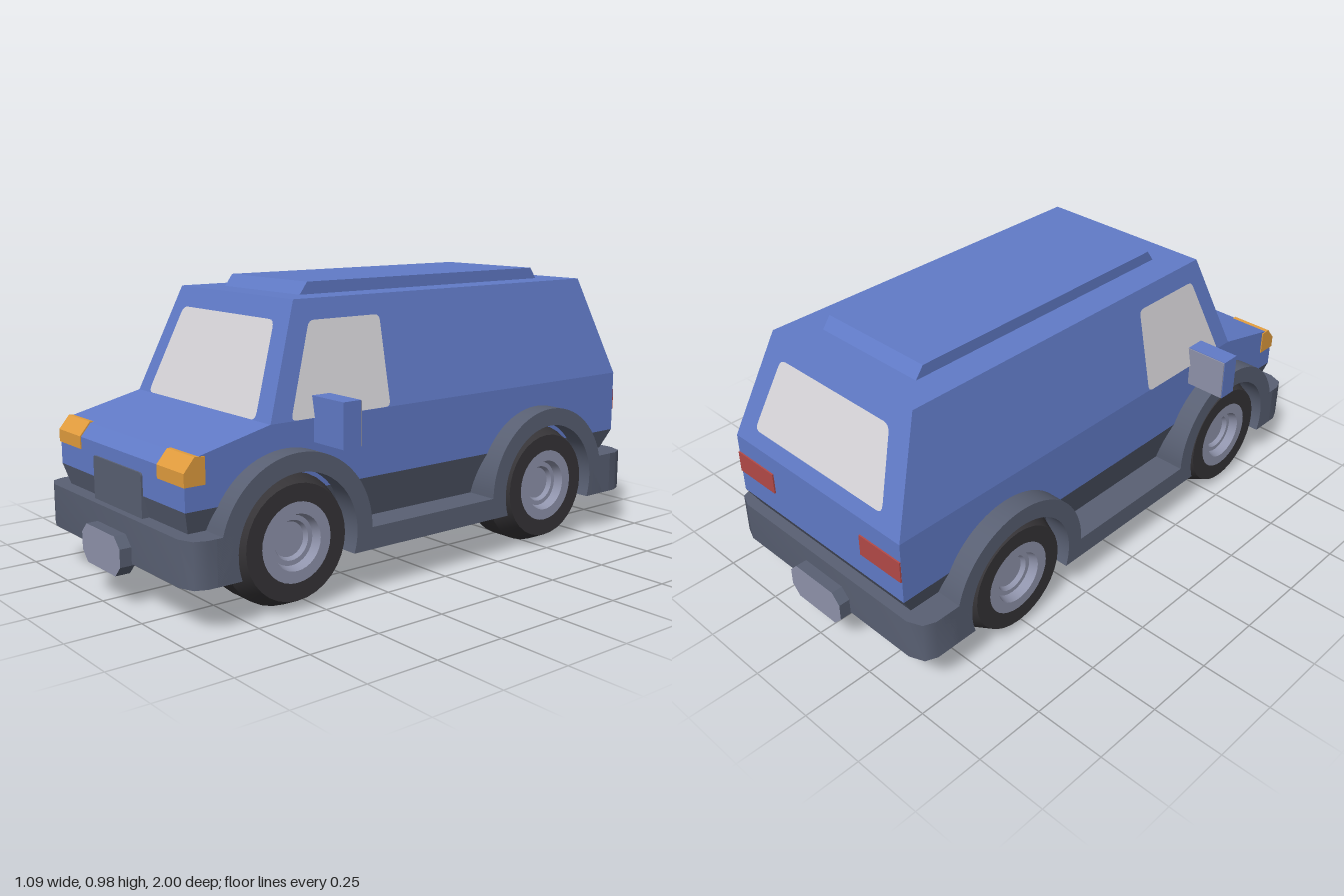
import * as THREE from 'three';
import { toCreasedNormals } from 'three/addons/utils/BufferGeometryUtils.js';

const paint = (name, color) => {
  const m = new THREE.MeshStandardMaterial({ color });
  m.name = name;
  return m;
};

export function createModel() {
  const blue = paint('bodyBlue', 0x617bc8);
  const trim = paint('trimGrey', 0x596073);
  const glass = paint('glassGrey', 0xd8d6da);
  const rubber = paint('rubberBlack', 0x363437);
  const metal = paint('metalGrey', 0x9094ac);
  const orange = paint('lampOrange', 0xe29d3e);
  const red = paint('lampRed', 0xb44a48);

  const van = new THREE.Group();
  van.name = 'van';
  const add = (name, geometry, material, parent = van) => {
    const mesh = new THREE.Mesh(geometry, material);
    mesh.name = name;
    parent.add(mesh);
    return mesh;
  };
  const polygon = pts => new THREE.Shape(pts.map(p => new THREE.Vector2(...p)));

  // Shape drawn in (z, y), extruded across x
  const extrudeX = (shape, x0, x1) =>
    new THREE.ExtrudeGeometry(shape, { depth: x1 - x0, bevelEnabled: false, curveSegments: 20 })
      .rotateY(-Math.PI / 2).translate(x1, 0, 0);

  // Box spanning two corners
  const block = (x0, x1, y0, y1, z0, z1) =>
    new THREE.BoxGeometry(x1 - x0, y1 - y0, z1 - z0)
      .translate((x0 + x1) / 2, (y0 + y1) / 2, (z0 + z1) / 2);

  // Tapered box: each level is { y, x: half width, front, back }
  const frustum = (low, high) => {
    const g = new THREE.BoxGeometry(1, 1, 1);
    const p = g.attributes.position;
    for (let i = 0; i < p.count; i++) {
      const l = p.getY(i) < 0 ? low : high;
      p.setXYZ(i, Math.sign(p.getX(i)) * l.x, l.y, p.getZ(i) > 0 ? l.front : l.back);
    }
    g.computeVertexNormals();
    return g;
  };

  // Polygon with its corners rounded by r
  const rounded = (pts, r) => {
    const s = new THREE.Shape();
    const v = pts.map(p => new THREE.Vector2(...p));
    v.forEach((c, i) => {
      const toward = o => c.clone().add(o.clone().sub(c).setLength(r));
      const a = toward(v[(i + v.length - 1) % v.length]);
      const b = toward(v[(i + 1) % v.length]);
      if (i) s.lineTo(a.x, a.y); else s.moveTo(a.x, a.y);
      s.quadraticCurveTo(c.x, c.y, b.x, b.y);
    });
    s.closePath();
    return s;
  };

  // Flat pane laid on a sloping wall by a mapping rule
  const pane = (pts, r, map) => {
    const g = new THREE.ShapeGeometry(rounded(pts, r), 4);
    const p = g.attributes.position;
    for (let i = 0; i < p.count; i++) p.setXYZ(i, ...map(p.getX(i), p.getY(i)));
    g.computeVertexNormals();
    return g;
  };

  // Body: nose and lower walls, cabin, and tapered skirt
  const lower = polygon([[0.93, 0.365], [0.93, 0.48], [0.895, 0.522], [0.63, 0.585],
    [-0.96, 0.585], [-0.96, 0.365]]);
  const waist = { y: 0.585, x: 0.4, front: 0.63, back: -0.96 };
  const roof = { y: 0.945, x: 0.327, front: 0.49, back: -0.82 };
  add('lowerBody', extrudeX(lower, -0.4, 0.4), blue);
  add('cabin', frustum(waist, roof), blue);
  add('skirt', frustum({ y: 0.2, x: 0.352, front: 0.885, back: -0.865 },
    { y: 0.365, x: 0.4, front: 0.93, back: -0.96 }), trim);
  add('roofPanel', extrudeX(polygon([[0.385, 0.944], [0.355, 0.985], [-0.68, 0.985],
    [-0.71, 0.944]]), -0.217, 0.217), blue);

  // Windows
  const at = (key, y) => THREE.MathUtils.mapLinear(y, waist.y, roof.y, waist[key], roof[key]);
  add('windshield', pane([[-0.325, 0.587], [0.325, 0.587], [0.268, 0.88], [-0.268, 0.88]], 0.025,
    (x, y) => [x, y, at('front', y) + 0.005]), glass);
  add('rearWindow', pane([[-0.31, 0.64], [0.31, 0.64], [0.257, 0.88], [-0.257, 0.88]], 0.025,
    (x, y) => [-x, y, at('back', y) - 0.005]), glass);
  const sidePts = [[0.163, 0.587], [0.557, 0.587], [0.445, 0.88], [0.163, 0.88]];
  for (const s of [1, -1]) {
    add(s > 0 ? 'leftWindow' : 'rightWindow', pane(sidePts.map(([z, y]) => [-s * z, y]), 0.02,
      (u, y) => [s * (at('x', y) + 0.005), y, -s * u]), glass);
  }

  // Side trim with wheel arches and sill
  const wheelY = 0.223, axles = [0.576, -0.533], outer = 0.283, inner = 0.222;
  const top = Math.asin((0.295 - wheelY) / outer);
  const cut = Math.asin((wheelY - 0.15) / inner);
  const arch = new THREE.Shape();
  arch.moveTo(0.87, 0.15);
  arch.lineTo(0.87, 0.295);
  arch.absarc(axles[0], wheelY, outer, top, Math.PI, false);
  arch.absarc(axles[1], wheelY, outer, 0, Math.PI - top, false);
  arch.lineTo(-0.87, 0.295);
  arch.lineTo(-0.87, 0.15);
  arch.absarc(axles[1], wheelY, inner, Math.PI + cut, -cut, true);
  arch.absarc(axles[0], wheelY, inner, Math.PI + cut, -cut, true);
  arch.closePath();

  // Wheel profiles as (radius, offset along the axle)
  const lathe = pts => toCreasedNormals(
    new THREE.LatheGeometry(pts.map(p => new THREE.Vector2(...p)), 32), 0.4);
  const tyre = lathe([[0, -0.125], [0.185, -0.125], [0.218, -0.05], [0.218, 0.05],
    [0.185, 0.125], [0.128, 0.125]]);
  const rim = lathe([[0.128, 0.125], [0.09, 0.125], [0.08, 0.095], [0.064, 0.095],
    [0.056, 0.08], [0, 0.08]]);

  for (const s of [1, -1]) {
    const side = s > 0 ? 'left' : 'right';
    const span = (a, b) => (s > 0 ? [a, b] : [-b, -a]);
    add(side + 'ArchTrim', toCreasedNormals(extrudeX(arch, ...span(0.2, 0.472)), 0.5), trim);

    axles.forEach((z, i) => {
      const wheel = new THREE.Group();
      wheel.name = side + (i ? 'RearWheel' : 'FrontWheel');
      wheel.position.set(s * 0.33, wheelY, z);
      wheel.rotation.z = -s * Math.PI / 2;
      add('tyre', tyre, rubber, wheel);
      add('rim', rim, metal, wheel);
      van.add(wheel);
    });

    // Lamps
    add(side + 'Headlight', extrudeX(polygon([[0.862, 0.44], [0.934, 0.44], [0.934, 0.482],
      [0.897, 0.526], [0.862, 0.524]]), ...span(0.25, 0.404)), orange);
    add(side + 'TailLight', block(...span(0.215, 0.399), 0.445, 0.52, -0.965, -0.958), red);

    // Door mirror with a pale glass on its back
    add(side + 'Mirror', block(...span(0.388, 0.545), 0.51, 0.655, 0.4, 0.468), blue);
    add(side + 'MirrorGlass', block(...span(0.39, 0.543), 0.512, 0.653, 0.396, 0.401), metal);
  }

  // Bumpers and chamfered plates at both ends
  const plate = polygon([[-0.125, 0.145], [-0.092, 0.11], [0.092, 0.11], [0.125, 0.145],
    [0.125, 0.203], [0.092, 0.237], [-0.092, 0.237], [-0.125, 0.203]]);
  for (const [name, f, back] of [['front', 1, 0.798], ['rear', -1, 0.755]]) {
    const half = [[0.472, back], [0.472, 0.9], [0.455, 0.94], [0.405, 0.96]];
    const outline = [...half, ...half.map(([x, z]) => [-x, z]).reverse()];
    const bumper = new THREE.ExtrudeGeometry(polygon(outline.map(([x, z]) => [x, -f * z])),
      { depth: 0.145, bevelEnabled: false }).rotateX(-Math.PI / 2).translate(0, 0.15, 0);
    add(name + 'Bumper', toCreasedNormals(bumper, 0.8), trim);
    add(name + 'Plate', new THREE.ExtrudeGeometry(plate, { depth: 0.05, bevelEnabled: false })
      .translate(0, 0, f > 0 ? 0.95 : -1), [metal, trim]);
  }

  // Grille and underside
  add('grille', new THREE.ExtrudeGeometry(rounded([[-0.155, 0.28], [0.155, 0.28], [0.155, 0.437],
    [-0.155, 0.437]], 0.012), { depth: 0.036, bevelEnabled: false }).translate(0, 0, 0.9), trim);
  add('underfloor', block(-0.21, 0.21, 0.185, 0.205, -0.8, 0.82), rubber);

  return van;
}
